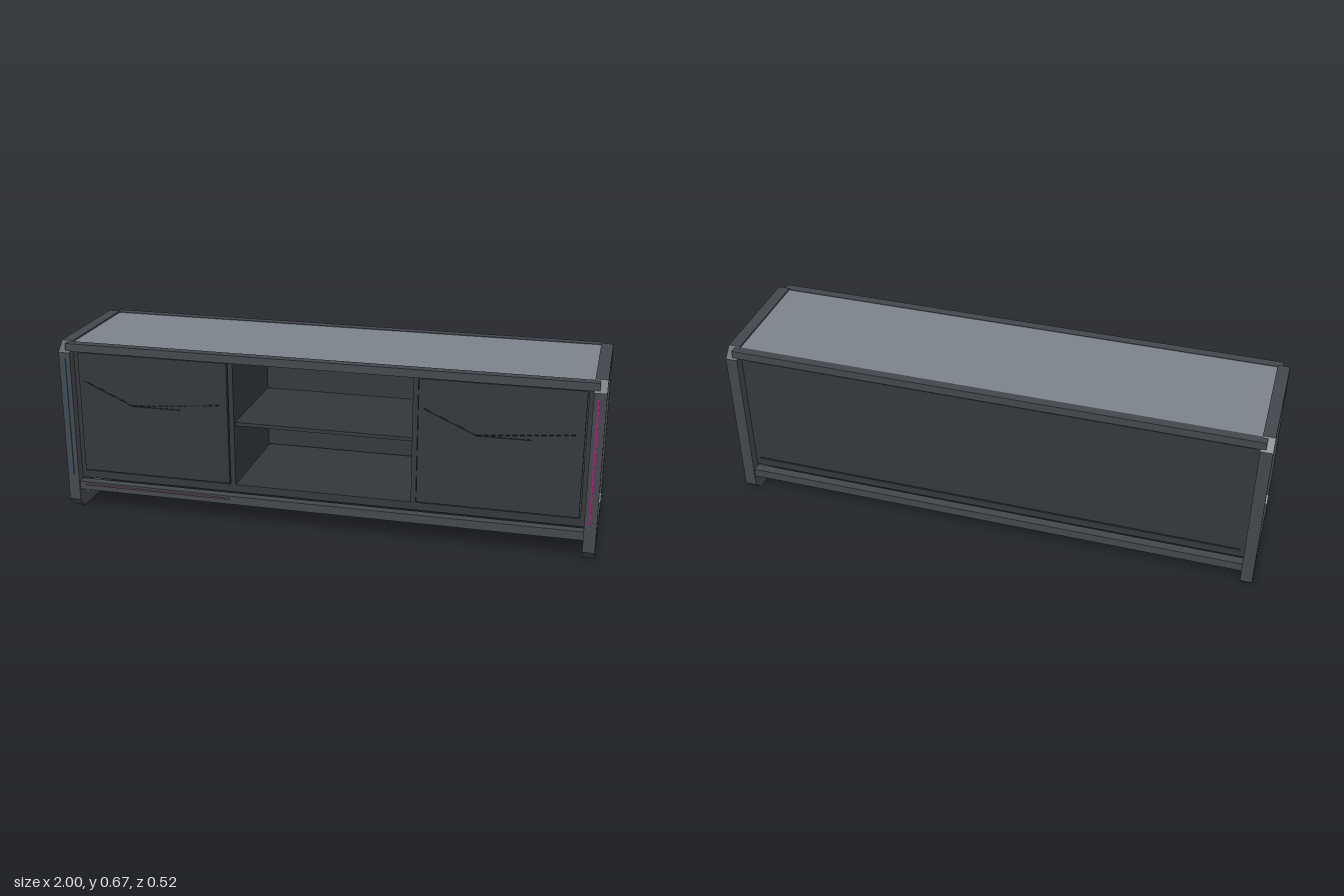
import * as THREE from 'three';

const mat = (color) => new THREE.MeshStandardMaterial({ color });
const frameMat = mat(0x43474c);
const bodyMat = mat(0x33373c);
const topMat = mat(0x7c838b);
const lineMat = mat(0x17191b);
const magentaMat = mat(0xb0107a);
const blueMat = mat(0x2a5a66);
const roseMat = mat(0x7a5f64);

// Box given by its min and max along each axis
function box(parent, name, material, [x0, x1], [y0, y1], [z0, z1]) {
  const mesh = new THREE.Mesh(new THREE.BoxGeometry(x1 - x0, y1 - y0, z1 - z0), material);
  mesh.position.set((x0 + x1) / 2, (y0 + y1) / 2, (z0 + z1) / 2);
  mesh.name = name;
  parent.add(mesh);
  return mesh;
}

// Rectangle with cut corners
function chamfered(PathType, x0, x1, y0, y1, c) {
  const p = new PathType();
  p.moveTo(x0 + c, y0);
  p.lineTo(x1 - c, y0);
  p.lineTo(x1, y0 + c);
  p.lineTo(x1, y1 - c);
  p.lineTo(x1 - c, y1);
  p.lineTo(x0 + c, y1);
  p.lineTo(x0, y1 - c);
  p.lineTo(x0, y0 + c);
  p.closePath();
  return p;
}

// Closed loop frame forming the legs at one end
function endFrame() {
  const shape = chamfered(THREE.Shape, -0.255, 0.258, 0, 0.668, 0.038);
  shape.holes.push(chamfered(THREE.Path, -0.218, 0.221, 0.04, 0.632, 0.028));
  const geo = new THREE.ExtrudeGeometry(shape, { depth: 0.044, bevelEnabled: false });
  geo.translate(0, 0, -0.022);
  geo.rotateY(Math.PI / 2);
  return new THREE.Mesh(geo, frameMat);
}

// Thin engraved stroke on a door front
function stroke(parent, a, b, z) {
  const dx = b[0] - a[0], dy = b[1] - a[1];
  const mesh = new THREE.Mesh(new THREE.BoxGeometry(Math.hypot(dx, dy), 0.005, 0.002), lineMat);
  mesh.position.set((a[0] + b[0]) / 2, (a[1] + b[1]) / 2, z);
  mesh.rotation.z = Math.atan2(dy, dx);
  mesh.name = 'doorLine';
  parent.add(mesh);
}

// Door with a bent line, a short line and a dashed line
function door(x0) {
  const g = new THREE.Group();
  g.name = 'door';
  const z = 0.226;
  box(g, 'doorPanel', bodyMat, [0, 0.582], [0.155, 0.625], [0.205, z]);
  stroke(g, [0.02, 0.515], [0.21, 0.43], z);
  stroke(g, [0.21, 0.43], [0.4, 0.43], z);
  const dashes = 14;
  for (let i = 0; i < dashes; i++) {
    const at = (t) => [0.21 + 0.35 * t, 0.43 + 0.032 * t];
    stroke(g, at(i / dashes), at((i + 0.65) / dashes), z);
  }
  g.position.x = x0;
  return g;
}

export function createModel() {
  const model = new THREE.Group();
  model.name = 'mediaCabinet';

  // End frames, side panels and dividers
  for (const s of [-1, 1]) {
    const span = (a, b) => (s > 0 ? [a, b] : [-b, -a]);
    const frame = endFrame();
    frame.name = 'endFrame';
    frame.position.x = s * 0.978;
    model.add(frame);
    box(model, 'sidePanel', bodyMat, span(0.94, 0.962), [0.15, 0.634], [-0.222, 0.22]);
    box(model, 'divider', bodyMat, span(0.333, 0.352), [0.15, 0.634], [-0.212, 0.222]);
  }

  // Long rails, top and bottom, front and back
  for (const [z0, z1] of [[0.214, 0.248], [-0.252, -0.218]]) {
    box(model, 'topRail', frameMat, [-0.975, 0.975], [0.634, 0.664], [z0, z1]);
    box(model, 'bottomRail', frameMat, [-0.957, 0.957], [0.08, 0.113], [z0, z1]);
  }

  // Cabinet boards
  box(model, 'topPanel', topMat, [-0.957, 0.957], [0.638, 0.662], [-0.22, 0.216]);
  box(model, 'bottomBoard', bodyMat, [-0.962, 0.962], [0.12, 0.15], [-0.222, 0.22]);
  box(model, 'backPanel', bodyMat, [-0.94, 0.94], [0.155, 0.61], [-0.222, -0.208]);
  box(model, 'shelf', bodyMat, [-0.333, 0.333], [0.38, 0.394], [-0.208, 0.205]);

  // Doors
  model.add(door(-0.938), door(0.354));

  // Thin light strips on the front
  box(model, 'rightPostStrip', blueMat, [-0.98, -0.974], [0.143, 0.608], [0.254, 0.259]);
  box(model, 'leftPostStrip', magentaMat, [0.971, 0.977], [0.143, 0.608], [0.254, 0.259]);
  box(model, 'railStrip', roseMat, [-0.93, -0.35], [0.101, 0.105], [0.247, 0.255]);

  return model;
}
